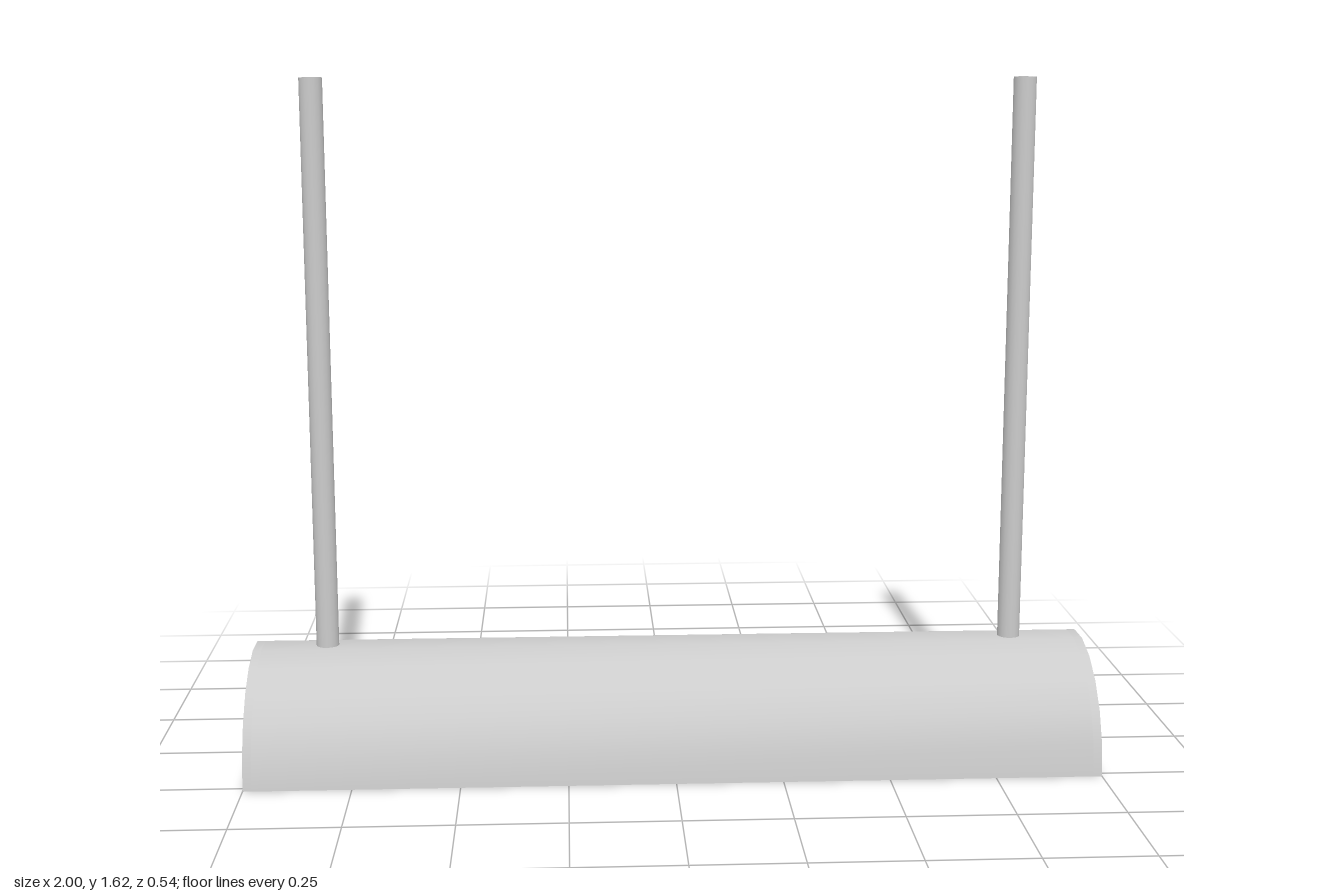
import * as THREE from 'three';
import { toCreasedNormals } from 'three/addons/utils/BufferGeometryUtils.js';

const R = 0.27, WALL = 0.02, HALF = 1, SIDES = 11;
const grey = new THREE.MeshStandardMaterial({ color: 0xcccccc });
const greyOpen = new THREE.MeshStandardMaterial({ color: 0xcccccc, side: THREE.DoubleSide });

// Points of a half circle, from one bottom edge over the top to the other
function arc(r) {
  return Array.from({ length: SIDES + 1 }, (_, i) => {
    const a = (Math.PI * i) / SIDES;
    return new THREE.Vector2(r * Math.cos(a), r * Math.sin(a));
  });
}

// Extrude a cross-section along x, centred on x = 0
function alongX(points, length) {
  const geo = new THREE.ExtrudeGeometry(new THREE.Shape(points), { depth: length, bevelEnabled: false });
  geo.translate(0, 0, -length / 2).rotateY(Math.PI / 2);
  return toCreasedNormals(geo, 0.5);
}

function add(group, name, geo, material, x, y, z) {
  const mesh = new THREE.Mesh(geo, material);
  mesh.name = name;
  mesh.position.set(x, y, z);
  group.add(mesh);
  return mesh;
}

export function createModel() {
  const model = new THREE.Group();
  model.name = 'hangingLamp';
  const inner = 2 * (HALF - WALL);

  // Curved hood, hollow and open below
  const hood = alongX([...arc(R), ...arc(R - WALL).reverse()], inner);
  add(model, 'hood', hood, grey, 0, 0, 0);

  const endGeo = alongX(arc(R), WALL);
  const rodGeo = new THREE.CylinderGeometry(0.027, 0.027, 1.355, 16, 1, true);
  const lampGeo = new THREE.CylinderGeometry(0.03, 0.03, inner, 16).rotateZ(Math.PI / 2);

  for (const [side, s] of [['left', 1], ['right', -1]]) {
    // Half-round end plate and open hanging rod
    add(model, side + 'EndPlate', endGeo, grey, s * (HALF - WALL / 2), 0, 0);
    add(model, side + 'HangingRod', rodGeo, greyOpen, s * 0.826, 0.26 + 1.355 / 2, 0);
  }

  // Two long lamp tubes inside the hood
  for (const [place, s] of [['front', 1], ['back', -1]]) {
    add(model, place + 'LampTube', lampGeo, grey, 0, 0.06, s * 0.11);
  }
  return model;
}
